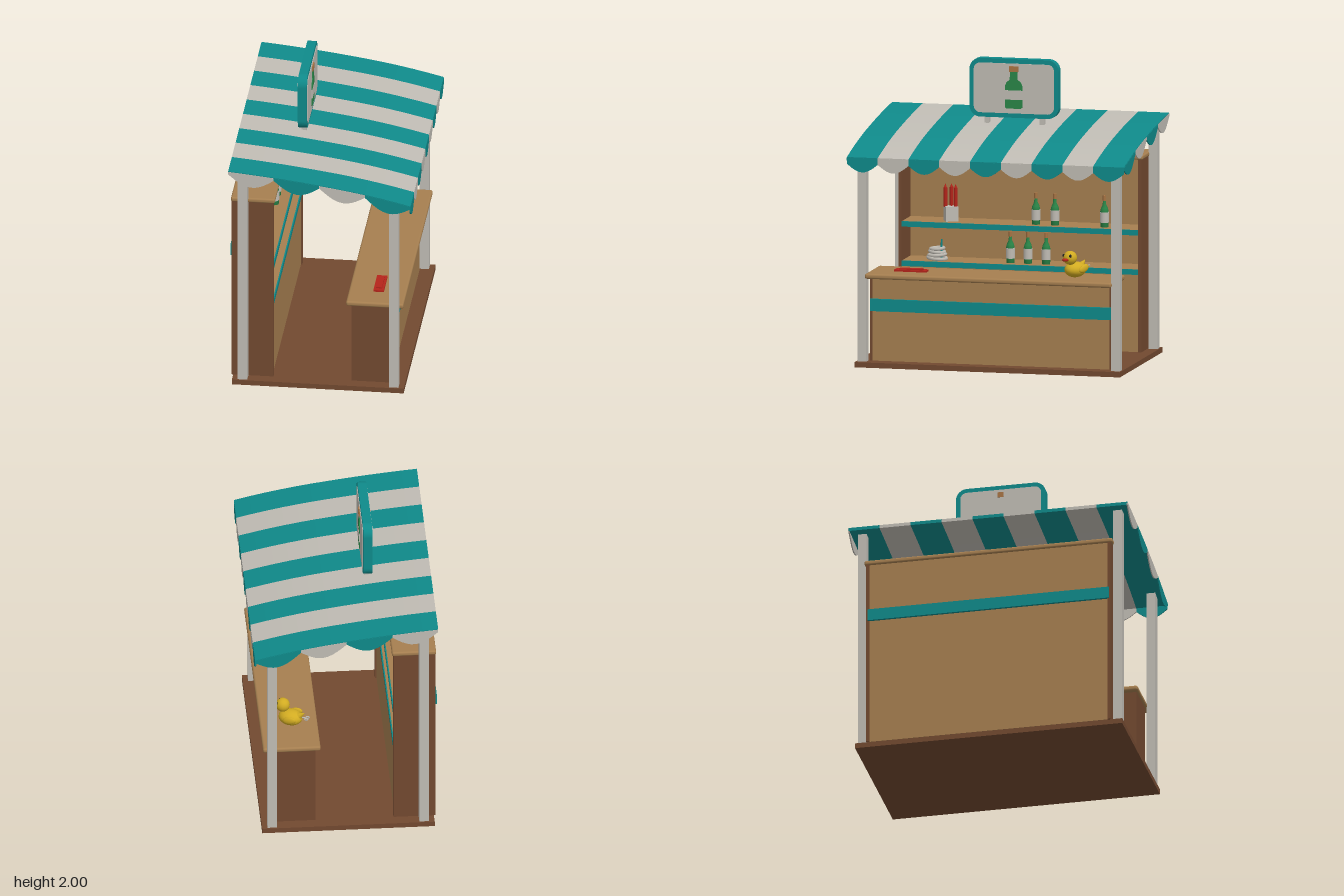
import * as THREE from 'three';
import { RoundedBoxGeometry } from 'three/addons/geometries/RoundedBoxGeometry.js';

const mat = (name, color) => Object.assign(new THREE.MeshStandardMaterial({ color }), { name });
const wood = mat('light wood', 0xa67f50);
const brown = mat('dark wood', 0x724930);
const teal = mat('teal', 0x0f8a8a);
const cream = mat('off white', 0xc0bcb4);
const green = mat('bottle green', 0x2a8648);
const red = mat('red', 0xb5241a);
const yellow = mat('duck yellow', 0xd2ac22);
const cork = mat('cork', 0xa87444);
const black = mat('black', 0x1c1f22);

function add(parent, name, geometry, material, x = 0, y = 0, z = 0) {
  const mesh = new THREE.Mesh(geometry, material);
  mesh.name = name;
  mesh.position.set(x, y, z);
  parent.add(mesh);
  return mesh;
}

// Box given by its limits on each axis
function box(parent, name, material, [x0, x1], [y0, y1], [z0, z1], radius = 0) {
  const size = [x1 - x0, y1 - y0, z1 - z0];
  const geometry = radius ? new RoundedBoxGeometry(...size, 2, radius) : new THREE.BoxGeometry(...size);
  return add(parent, name, geometry, material, (x0 + x1) / 2, (y0 + y1) / 2, (z0 + z1) / 2);
}

function group(parent, name, x = 0, y = 0, z = 0) {
  const g = new THREE.Group();
  g.name = name;
  g.position.set(x, y, z);
  parent.add(g);
  return g;
}

const extrude = (shape, depth) => new THREE.ExtrudeGeometry(shape, { depth, bevelEnabled: false, curveSegments: 8 });
// Extrusion whose face looks along +x
const extrudeX = (shape, depth) => extrude(shape, depth).rotateY(Math.PI / 2);

// Height of the curved awning at x
const roofY = x => 1.54 - 0.145 * x - 0.1 * x * x + (x < 0 ? 0.05 * x * x : 0.01 * x);

function roundedRect(w, h, r) {
  const s = new THREE.Shape();
  s.absarc(w / 2 - r, h / 2 - r, r, 0, Math.PI / 2);
  s.absarc(-w / 2 + r, h / 2 - r, r, Math.PI / 2, Math.PI);
  s.absarc(-w / 2 + r, -h / 2 + r, r, Math.PI, Math.PI * 1.5);
  s.absarc(w / 2 - r, -h / 2 + r, r, Math.PI * 1.5, Math.PI * 2);
  s.closePath();
  return s;
}

// Scalloped flap between a and b hanging from a top line
function scallop(a, b, top, side, depth) {
  const s = new THREE.Shape();
  const n = 10;
  for (let i = 0; i <= n; i++) {
    const u = a + (b - a) * i / n;
    const v = top(u) - side - (depth - side) * Math.sin(Math.PI * i / n);
    i ? s.lineTo(u, v) : s.moveTo(u, v);
  }
  for (let i = n; i >= 0; i--) {
    const u = a + (b - a) * i / n;
    s.lineTo(u, top(u) - 0.004);
  }
  return s;
}

function buildAwning(root) {
  const awning = group(root, 'awning');
  const half = 0.61, stripe = 1.9 / 9, n = 12;
  const profile = new THREE.Shape();
  for (let i = 0; i <= n; i++) {
    const x = half - 2 * half * i / n;
    i ? profile.lineTo(x, roofY(x)) : profile.moveTo(x, roofY(x));
  }
  for (let i = 0; i <= n; i++) {
    const x = -half + 2 * half * i / n;
    profile.lineTo(x, roofY(x) - 0.022);
  }
  for (let i = 0; i < 9; i++) {
    const z = -0.95 + i * stripe;
    const m = i % 2 ? cream : teal;
    add(awning, 'awningStripe', extrude(profile, stripe), m, 0, 0, z);
    add(awning, 'frontScallop', extrudeX(scallop(z, z + stripe, () => roofY(half), 0.045, 0.1), 0.008), m, half - 0.007);
  }
  for (const z of [-0.952, 0.944]) {
    for (let i = 0; i < 4; i++) {
      const a = -half + i * half / 2;
      add(awning, 'sideScallop', extrude(scallop(a, a + half / 2, roofY, 0.022, 0.098), 0.008), i % 2 ? teal : cream, 0, 0, z);
    }
  }
}

function buildSign(root) {
  const sign = group(root, 'sign', -0.19, 1.803, 0);
  const frame = roundedRect(0.61, 0.395, 0.075);
  frame.holes.push(roundedRect(0.545, 0.33, 0.045));
  add(sign, 'signFrame', extrudeX(frame, 0.06), teal, -0.03);
  add(sign, 'signPanel', extrudeX(roundedRect(0.55, 0.335, 0.045), 0.068), cream, -0.034);
  // Flat bottle picture
  const half = [[0.05, -0.135], [0.06, -0.125], [0.06, 0.015], [0.05, 0.04], [0.027, 0.06], [0.025, 0.115]];
  const outline = [...half, ...half.map(([x, y]) => [-x, y]).reverse()];
  const shape = new THREE.Shape(outline.map(([x, y]) => new THREE.Vector2(x, y)));
  add(sign, 'pictureBottle', extrudeX(shape, 0.005), green, 0.034);
  box(sign, 'pictureLabel', cream, [0.034, 0.041], [-0.075, -0.012], [-0.0605, 0.0605]);
  box(sign, 'pictureCork', cork, [0.034, 0.042], [0.112, 0.15], [-0.032, 0.032]);
  box(sign, 'backCork', cork, [-0.037, -0.033], [0.112, 0.148], [-0.02, 0.02]);
  for (const z of [-0.19, 0.19]) box(sign, 'signFoot', cream, [-0.018, 0.018], [-0.25, -0.19], [z - 0.016, z + 0.016]);
}

const lathe = points => new THREE.LatheGeometry(points.map(p => new THREE.Vector2(...p)), 12);

function buildBottle(root, x, y, z) {
  const bottle = group(root, 'bottle', x, y, z);
  add(bottle, 'glass', lathe([[0, 0], [0.028, 0], [0.029, 0.105], [0.024, 0.125], [0.012, 0.15], [0.011, 0.185]]), green);
  add(bottle, 'label', new THREE.CylinderGeometry(0.031, 0.031, 0.07, 12, 1), cream, 0, 0.065);
  add(bottle, 'stopper', new THREE.CylinderGeometry(0.012, 0.012, 0.035, 10), cork, 0, 0.193);
}

function buildDuck(root) {
  const duck = group(root, 'duck', 0.345, 0.63, -0.55);
  duck.rotation.y = -0.45;
  const ball = (name, m, r, [sx, sy, sz], x, y, z) => {
    const b = add(duck, name, new THREE.SphereGeometry(r, 16, 12), m, x, y, z);
    b.scale.set(sx, sy, sz);
    return b;
  };
  ball('body', yellow, 0.055, [1.5, 0.95, 1.2], 0, 0.052, 0);
  ball('head', yellow, 0.047, [1, 1, 1], 0.055, 0.136, 0);
  const tail = add(duck, 'tail', new THREE.ConeGeometry(0.032, 0.07, 10), yellow, -0.075, 0.085, 0);
  tail.rotation.z = 0.9;
  ball('beak', red, 0.022, [1.1, 0.5, 1], 0.102, 0.127, 0);
  for (const s of [-1, 1]) {
    ball('wing', yellow, 0.04, [1.2, 0.65, 0.35], -0.015, 0.062, s * 0.062).rotation.z = -0.25;
    ball('eye', black, 0.009, [1, 1.2, 1], 0.086, 0.153, s * 0.028);
  }
  // Wind-up key behind the body
  const shaft = add(duck, 'keyShaft', new THREE.CylinderGeometry(0.005, 0.005, 0.04, 8), cream, -0.095, 0.068, 0);
  shaft.rotation.z = Math.PI / 2;
  for (const s of [-1, 1]) add(duck, 'keyLoop', new THREE.TorusGeometry(0.011, 0.004, 6, 12), cream, -0.117, 0.068, s * 0.012).rotation.x = Math.PI / 2;
}

export function createModel() {
  const root = new THREE.Group();
  root.name = 'marketStall';
  box(root, 'floor', brown, [-0.59, 0.56], [0, 0.035], [-0.91, 0.91]);

  // Corner posts
  for (const z of [-0.87, 0.87]) {
    for (const x of [-0.52, 0.492]) box(root, 'post', cream, [x - 0.032, x + 0.032], [0.035, roofY(x) - 0.015], [z - 0.03, z + 0.03]);
  }

  // Shelf cabinet along the back of the stall
  const cabinet = group(root, 'cabinet');
  for (const s of [-1, 1]) box(cabinet, 'cabinetSide', brown, [-0.6, -0.32], [0.035, 1.335], [s * 0.8225 - 0.0105, s * 0.8225 + 0.0105]);
  box(cabinet, 'cabinetBack', wood, [-0.592, -0.57], [0.035, 1.335], [-0.812, 0.812]);
  box(cabinet, 'cabinetLowerFront', wood, [-0.345, -0.33], [0.035, 0.56], [-0.812, 0.812]);
  box(cabinet, 'cabinetTop', wood, [-0.605, -0.31], [1.33, 1.362], [-0.845, 0.845], 0.012);
  box(cabinet, 'cabinetBackBand', teal, [-0.61, -0.59], [0.92, 1.0], [-0.822, 0.822]);
  for (const y of [0.59, 0.855]) {
    box(cabinet, 'shelf', wood, [-0.57, -0.33], [y - 0.033, y], [-0.812, 0.812]);
    box(cabinet, 'shelfEdge', teal, [-0.33, -0.322], [y - 0.035, y + 0.001], [-0.812, 0.812]);
  }

  // Serving counter
  const counter = group(root, 'counter');
  box(counter, 'counterBody', brown, [0.2, 0.46], [0.035, 0.6], [-0.83, 0.83]);
  box(counter, 'counterFront', wood, [0.455, 0.463], [0.035, 0.6], [-0.812, 0.812]);
  box(counter, 'counterBand', teal, [0.46, 0.48], [0.37, 0.452], [-0.825, 0.825]);
  box(counter, 'counterTop', wood, [0.165, 0.55], [0.595, 0.63], [-0.845, 0.845], 0.014);

  buildAwning(root);
  buildSign(root);

  // Bottles on both shelves
  for (const z of [-0.085, -0.215, -0.555]) buildBottle(root, -0.42, 0.855, z);
  for (const z of [0.09, -0.03, -0.155]) buildBottle(root, -0.42, 0.59, z);

  // Box of red candles
  const candles = group(root, 'candleBox', -0.43, 0.855, 0.5);
  box(candles, 'holder', cream, [-0.042, 0.042], [0, 0.1], [-0.042, 0.042]).rotation.y = 0.45;
  for (const [x, z] of [[0.01, 0.036], [-0.015, 0], [0.015, -0.036]]) {
    add(candles, 'candle', new THREE.CylinderGeometry(0.013, 0.013, 0.13, 8), red, x, 0.16, z);
    add(candles, 'candleTip', new THREE.ConeGeometry(0.01, 0.028, 8), red, x, 0.238, z);
  }

  // Coiled rope on the lower shelf, with a small teal peg
  const coil = group(root, 'ropeCoil', -0.43, 0.59, 0.595);
  for (let i = 0; i < 4; i++) {
    const ring = add(coil, 'ropeTurn', new THREE.TorusGeometry(0.062 - i * 0.006, 0.012, 6, 18), cream, 0, 0.013 + i * 0.021, 0);
    ring.rotation.set(Math.PI / 2 + (i % 2 ? 0.08 : -0.08), 0, 0);
  }
  add(coil, 'peg', new THREE.CylinderGeometry(0.005, 0.008, 0.14, 8), teal, 0, 0.07, -0.03);

  // Red tray on the counter
  box(root, 'tray', red, [0.33, 0.4], [0.63, 0.642], [0.46, 0.68]);
  box(root, 'trayRim', red, [0.345, 0.385], [0.642, 0.65], [0.49, 0.65]);

  buildDuck(root);
  return root;
}
